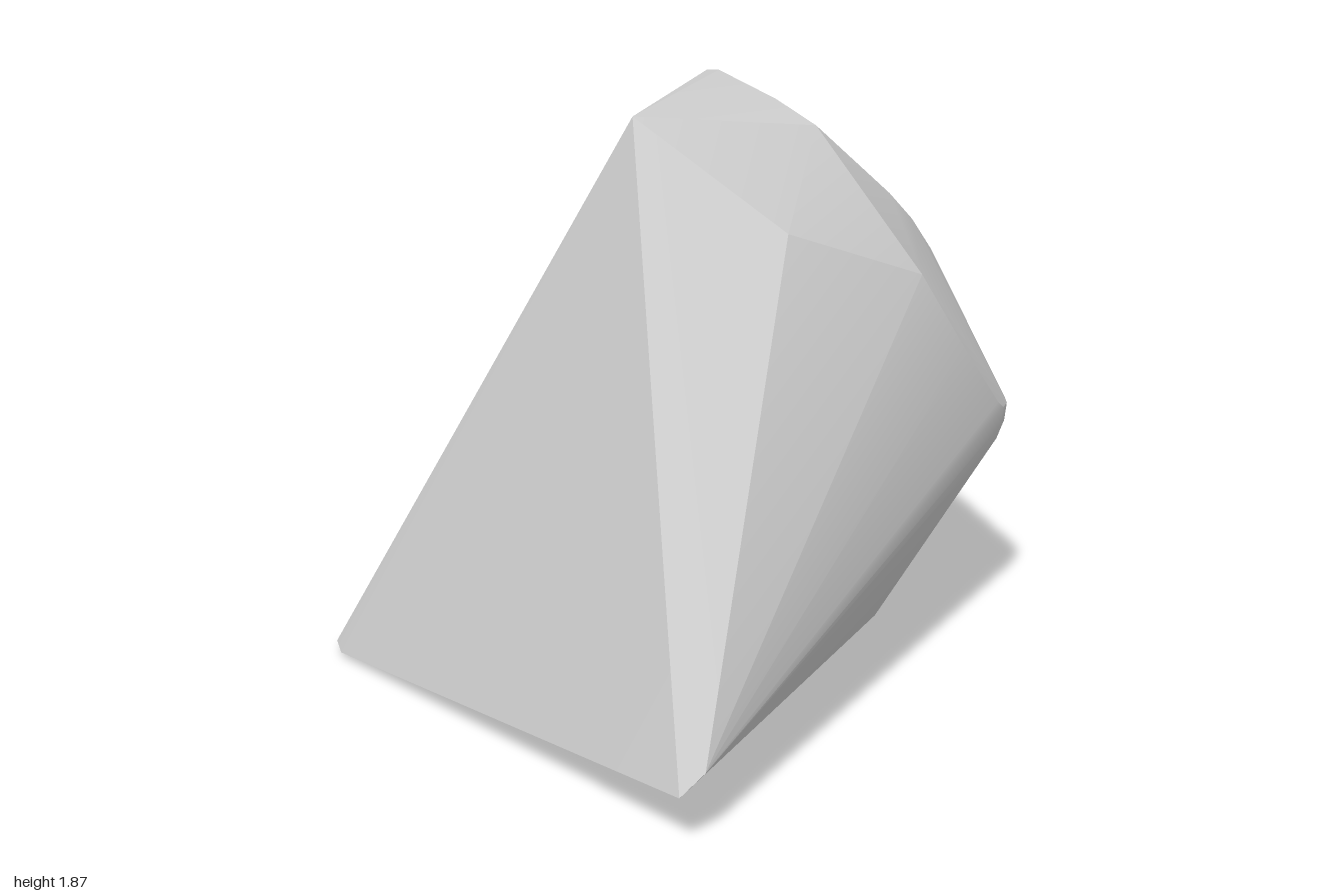
import * as THREE from 'three';
import { ConvexGeometry } from 'three/addons/geometries/ConvexGeometry.js';
import { toCreasedNormals } from 'three/addons/utils/BufferGeometryUtils.js';

// Corner groups of the faceted stone, as [x, y, z]
const frontCorners = [
  [-0.17, 1.85, 0.27],                                             // peak
  [0.91, 0.18, 0.87], [0.925, 0.24, 0.79],                         // left foot
  [-0.86, 0.015, 1], [-0.925, 0.03, 0.98], [-0.93, 0.1, 0.92], [-0.84, 0, 0.66], // right foot
];
const crown = [
  [-0.65, 1.84, -0.35], [-0.63, 1.852, -0.34], [-0.55, 1.865, -0.33],
  [-0.2, 1.83, -0.3], [-0.03, 1.77, -0.33], [0.26, 1.53, 0],
];
const sides = [
  [0.3, 1.33, -0.5], [0.3, 1.05, -0.69], [0.28, 0.83, -0.86],
  [-0.76, 0.89, -0.6], [-0.69, 1.16, -0.85],
];
const slopingBack = [
  [0.015, 1.52, -0.6], [0.01, 1.42, -0.7], [-0.03, 1.29, -0.82], [-0.1, 1.24, -0.88],
  [-0.35, 1.24, -0.895], [-0.52, 1.27, -0.89], [-0.64, 1.24, -0.89],
];
const underside = [[0.28, 0.2, -0.35], [0.25, 0.22, -0.4], [0.2, 0.26, -0.46]];

// Rounded rear edge: the same bend repeated along a curve across the back
function rearEdge() {
  const along = [[-0.32, -1], [-0.15, -1], [0.02, -0.997], [0.12, -0.988], [0.19, -0.972], [0.235, -0.94], [0.262, -0.9]];
  const bend = [[0.8, 0], [0.74, 0.008], [0.68, 0.035], [0.635, 0.075]];
  return along.flatMap(([x, z]) => bend.map(([y, inset]) => [x - inset * 0.2, y, z + inset]));
}

export function createModel() {
  const group = new THREE.Group();
  group.name = 'stone';
  const points = [...frontCorners, ...crown, ...sides, ...slopingBack, ...underside, ...rearEdge()]
    .map((p) => new THREE.Vector3(...p));
  // Soft bends are shaded smooth, hard facets stay sharp
  const geometry = toCreasedNormals(new ConvexGeometry(points), 0.32);
  const body = new THREE.Mesh(geometry, new THREE.MeshStandardMaterial({ color: 0xcccccc }));
  body.name = 'stoneBody';
  group.add(body);
  return group;
}
